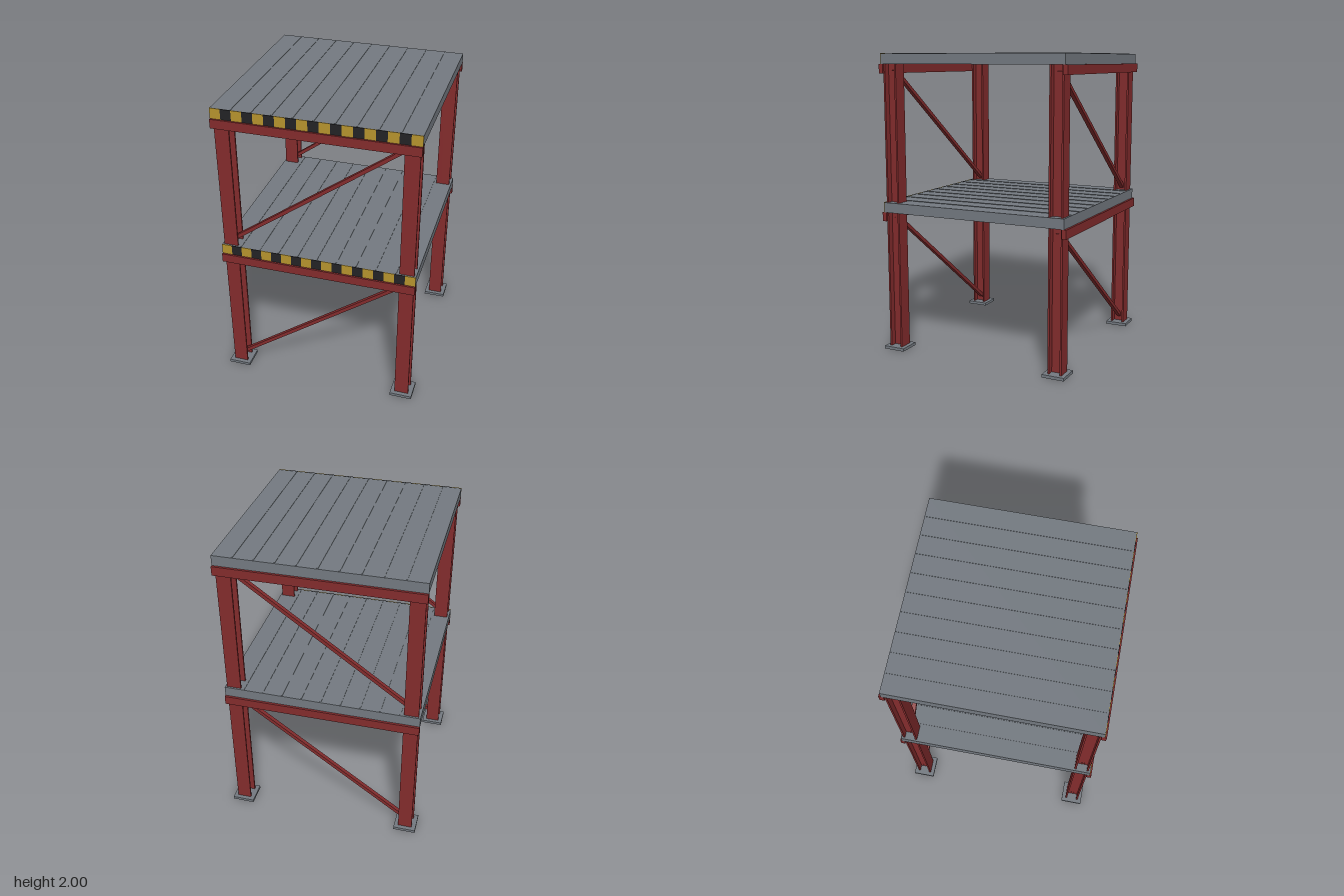
import * as THREE from 'three';

export function createModel() {
  const model = new THREE.Group();
  model.name = 'mezzaninePlatform';

  const mat = (name, color) => {
    const m = new THREE.MeshStandardMaterial({ color });
    m.name = name;
    return m;
  };
  const red = mat('steelRed', 0x842c2d);
  const grey = mat('deckGrey', 0x747a81);
  const yellow = mat('hazardYellow', 0xb8952e);
  const black = mat('hazardBlack', 0x232325);

  const box = (parent, name, material, w, h, d, x, y, z) => {
    const mesh = new THREE.Mesh(new THREE.BoxGeometry(w, h, d), material);
    mesh.name = name;
    mesh.position.set(x, y, z);
    parent.add(mesh);
    return mesh;
  };

  const POST = 0.59;              // post centre offset in x and z
  const SIZE = 0.095;             // post width and depth
  const FLANGE = 0.012;
  const DECK = 1.3;               // deck side length
  const floors = [1.02, 2.0];     // deck top heights

  // I-section outline: flanges face front and back, web runs along z
  const a = SIZE / 2, b = a - FLANGE, w = 0.006;
  const section = new THREE.Shape([
    [-a, -a], [a, -a], [a, -b], [w, -b], [w, b], [a, b],
    [a, a], [-a, a], [-a, b], [-w, b], [-w, -b], [-a, -b],
  ].map(([x, y]) => new THREE.Vector2(x, y)));
  const postGeometry = new THREE.ExtrudeGeometry(section, { depth: 1.92, bevelEnabled: false });
  postGeometry.rotateX(-Math.PI / 2);

  // Posts and base plates
  for (const sx of [-1, 1]) {
    for (const sz of [-1, 1]) {
      const post = new THREE.Mesh(postGeometry, red);
      post.name = 'post';
      post.position.set(sx * POST, 0.015, sz * POST);
      model.add(post);
      box(model, 'basePlate', grey, 0.15, 0.02, 0.15, sx * POST, 0.01, sz * POST);
    }
  }

  for (const top of floors) {
    const floor = new THREE.Group();
    floor.name = 'floor';
    model.add(floor);

    // Deck slab with thin raised seams running front to back
    box(floor, 'deck', grey, DECK, 0.067, DECK, 0, top - 0.0365, 0);
    for (let i = -4; i <= 4; i++) {
      box(floor, 'deckSeam', grey, 0.008, 0.006, DECK - 0.01, i * 0.13, top - 0.003, 0);
    }

    // Hazard stripes along the front edge
    const count = 19, step = DECK / count;
    for (let i = 0; i < count; i++) {
      box(floor, 'hazardStripe', i % 2 ? black : yellow, step, 0.069, 0.004,
        -DECK / 2 + (i + 0.5) * step, top - 0.0355, DECK / 2 + 0.001);
    }

    // Edge beams outside the posts, and a diagonal brace between them
    for (const sz of [-1, 1]) {
      box(floor, 'edgeBeam', red, DECK, 0.06, 0.03, 0, top - 0.1, sz * 0.65);
      const rise = 0.86, run = 2 * POST;
      const brace = box(floor, 'diagonalBrace', red, Math.hypot(run, rise), 0.024, 0.028,
        0, top - 0.53, sz * POST);
      brace.rotation.z = Math.atan2(rise, run);
    }
  }

  return model;
}
